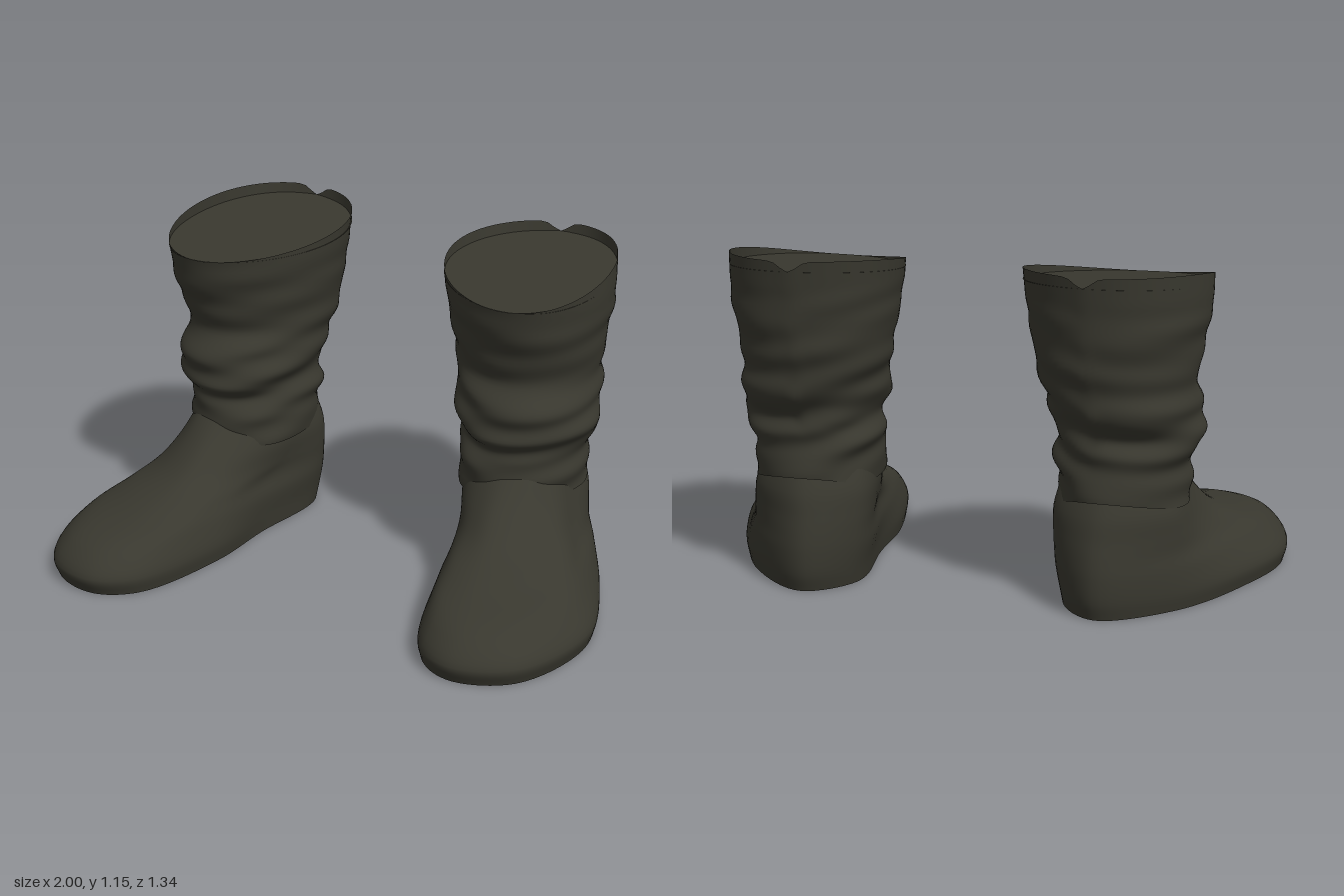
import * as THREE from 'three';

const leather = new THREE.MeshStandardMaterial({ color: 0x39382f });
leather.name = 'dark leather';
leather.side = THREE.DoubleSide;

// Foot cross-sections: height, then [x, z] from the toe round the outside, heel and inside
const footSections = [
  [0.06, [[.69, .67], [.885, .59], [1.0, .27], [.92, -.06], [.75, -.39], [.51, -.57], [.36, -.42], [.40, -.05], [.425, .24], [.545, .59]]],
  [0.14, [[.69, .59], [.85, .52], [.94, .25], [.88, -.06], [.75, -.39], [.51, -.575], [.345, -.42], [.395, -.05], [.44, .22], [.555, .52]]],
  [0.20, [[.64, .39], [.76, .33], [.86, .14], [.82, -.10], [.74, -.39], [.51, -.57], [.34, -.42], [.40, -.08], [.445, .14], [.53, .33]]],
  [0.26, [[.60, .21], [.71, .16], [.79, .03], [.78, -.15], [.74, -.39], [.51, -.56], [.337, -.42], [.37, -.16], [.43, .03], [.51, .16]]],
  [0.34, [[.58, .10], [.67, .06], [.74, -.05], [.75, -.20], [.73, -.40], [.52, -.545], [.34, -.42], [.35, -.20], [.41, -.04], [.50, .06]]],
  [0.45, [[.57, -.03], [.65, -.06], [.70, -.14], [.72, -.25], [.68, -.40], [.53, -.50], [.37, -.40], [.36, -.25], [.40, -.13], [.48, -.06]]],
];

// Shaft profile: height, inner x, outer x, front z, back z
const shaftRows = [
  [.36, .33, .76, -.01, -.54], [.44, .325, .76, .0, -.54], [.50, .32, .77, -.005, -.54],
  [.55, .32, .78, -.02, -.53], [.60, .315, .80, .02, -.555], [.66, .30, .795, .025, -.595],
  [.72, .29, .785, .015, -.605], [.80, .265, .785, -.03, -.62], [.90, .25, .805, .0, -.64],
  [1.0, .23, .82, .03, -.65], [1.1, .22, .82, .05, -.665],
];

// Joins rings of points, ordered counterclockwise from above, into a skin
function loft(rings) {
  const n = rings[0].length, idx = [];
  for (let i = 0; i < rings.length - 1; i++) {
    for (let j = 0; j < n; j++) {
      const k = (j + 1) % n, a = i * n + j, b = i * n + k;
      idx.push(a, b, b + n, a, b + n, a + n);
    }
  }
  return finish(rings.flat(), idx);
}

// Closes a ring with strips running across it from front to back
function cap(ring, up) {
  const n = ring.length, idx = [];
  for (let j = 0; j < n / 2; j++) {
    const a = j, b = j + 1, c = n - j - 1, d = (n - j) % n;
    if (up) idx.push(a, b, c, a, c, d);
    else idx.push(a, c, b, a, d, c);
  }
  return finish(ring, idx);
}

function finish(points, idx) {
  const g = new THREE.BufferGeometry().setFromPoints(points);
  g.setIndex(idx);
  g.computeVertexNormals();
  return g;
}

function footRings() {
  const levels = 30, around = 80;
  const sections = footSections.map(([y, pts]) => pts.map(([x, z]) => new THREE.Vector3(x, y, z)));
  // Sole edge tucks in slightly under the lowest section
  const sole = sections[0].map(p => new THREE.Vector3(.62 + (p.x - .62) * .97, 0, .05 + (p.z - .05) * .97));
  sections.unshift(sole);
  const rails = sole.map((_, i) => new THREE.CatmullRomCurve3(sections.map(s => s[i])));
  const rings = [];
  for (let i = 0; i <= levels; i++) {
    const loop = new THREE.CatmullRomCurve3(rails.map(r => r.getPoint(i / levels)), true);
    rings.push(Array.from({ length: around }, (_, j) => loop.getPoint(j / around)));
  }
  return rings;
}

// Soft slanted wrinkles, strongest above the ankle
function fold(a, y) {
  const strength = .003 + .005 * Math.exp(-(((y - .55) / .2) ** 2));
  const fade = Math.min(1, Math.max(0, (1.08 - y) / .1));
  return strength * fade * (Math.sin(y * 46 + 2.2 * Math.sin(a) + 1.4 * Math.cos(2 * a))
    + .6 * Math.sin(y * 27 + 3 * a) + .4 * Math.sin(y * 70 - 2 * a));
}

function shaftRings() {
  const levels = 60, around = 80, rings = [];
  const curve = k => new THREE.SplineCurve(shaftRows.map(r => new THREE.Vector2(r[0], r[k])));
  const [inner, outer, front, back] = [1, 2, 3, 4].map(curve);
  for (let i = 0; i <= levels; i++) {
    const t = i / levels;
    const xi = inner.getPoint(t).y, xo = outer.getPoint(t).y;
    const zf = front.getPoint(t).y, zb = back.getPoint(t).y;
    const v = (inner.getPoint(t).x - .36) / .74;
    const ring = [];
    for (let j = 0; j < around; j++) {
      const a = j / around * Math.PI * 2, c = Math.cos(a), s = Math.sin(a);
      // Rim rises to the back, where it has a small notch
      const notch = .035 * Math.exp(-(((a - Math.PI - .16) / .12) ** 2));
      const rim = 1.105 - .05 * c + .018 * s * s - notch;
      // Hem dips at the sides and rises at the heel
      const hem = .345 + .05 * Math.max(0, -c) ** 2;
      const y = hem + (rim - hem) * v;
      const d = fold(a, y);
      ring.push(new THREE.Vector3(
        (xi + xo) / 2 + ((xo - xi) / 2 + d) * s + .015 * v * c + (.055 * v - .02) * c * c,
        y,
        (zf + zb) / 2 + ((zf - zb) / 2 + d) * c + .02 * v * s));
    }
    rings.push(ring);
  }
  return rings;
}

function add(group, name, geometry) {
  const mesh = new THREE.Mesh(geometry, leather);
  mesh.name = name;
  group.add(mesh);
}

// The right boot mirrors the points and reverses their order, still starting at the front
function makeBoot(name, side) {
  const boot = new THREE.Group();
  boot.name = name;
  const place = rings => side > 0 ? rings : rings.map(r => {
    const [first, ...rest] = r.map(p => new THREE.Vector3(-p.x, p.y, p.z));
    return [first, ...rest.reverse()];
  });
  const foot = place(footRings()), shaft = place(shaftRings());
  // A flat, tilted closing just inside the rim
  const opening = shaft[shaft.length - 1].map(p => new THREE.Vector3(p.x, 1.06 - .09 * p.z, p.z));
  add(boot, 'foot', loft(foot));
  add(boot, 'sole', cap(foot[0], false));
  add(boot, 'shaft', loft(shaft));
  add(boot, 'opening', cap(opening, true));
  return boot;
}

export function createModel() {
  const model = new THREE.Group();
  model.name = 'boots';
  model.add(makeBoot('leftBoot', 1), makeBoot('rightBoot', -1));
  return model;
}
